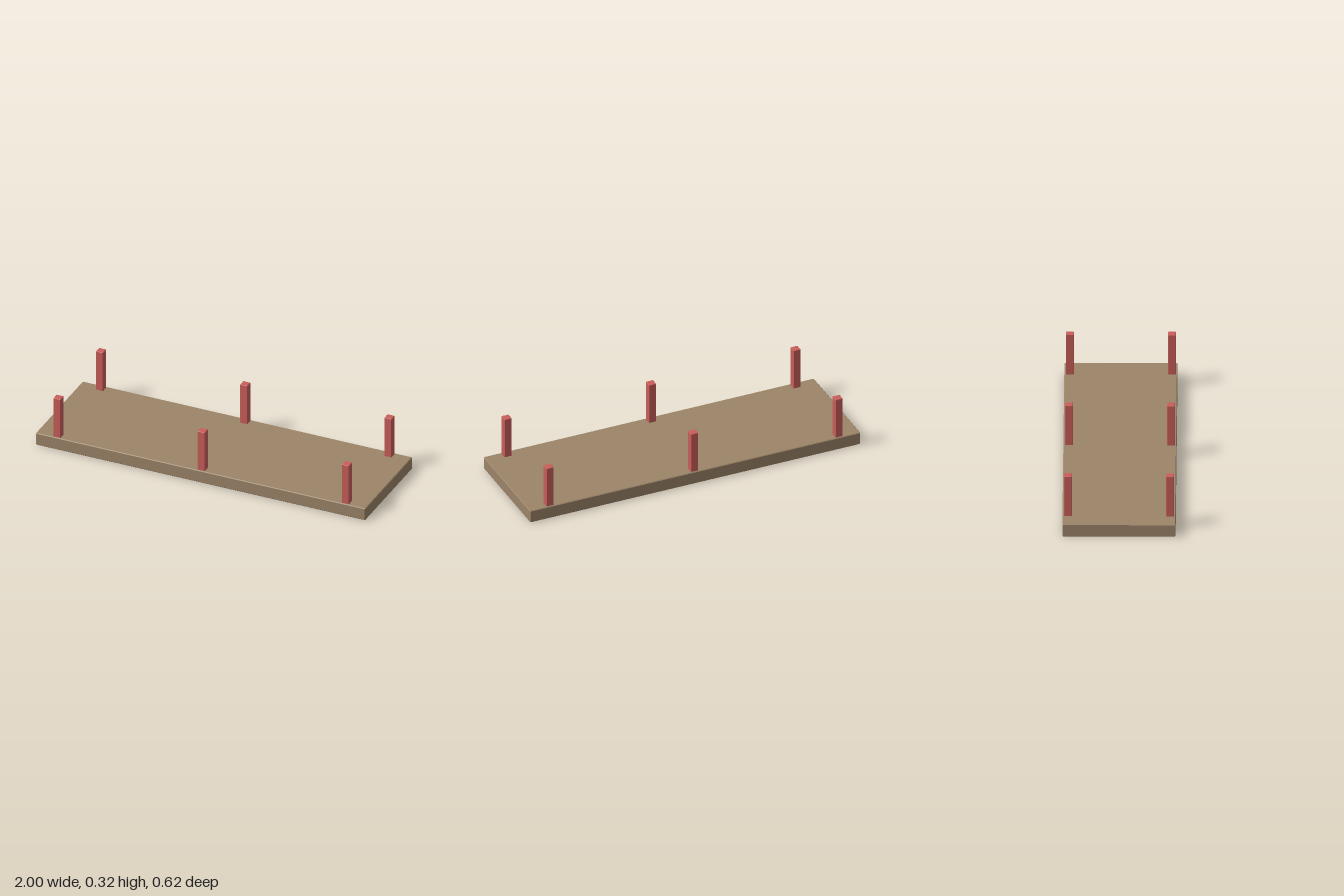
import * as THREE from 'three';
import { ConvexGeometry } from 'three/addons/geometries/ConvexGeometry.js';

// Box with flat chamfered edges, standing on y = 0
function chamferBox(w, h, d, c) {
  const points = [];
  for (const sx of [-1, 1]) for (const sy of [-1, 1]) for (const sz of [-1, 1]) {
    // each corner is cut into three points
    for (let axis = 0; axis < 3; axis++) {
      const inset = [c, c, c];
      inset[axis] = 0;
      points.push(new THREE.Vector3(
        sx * (w / 2 - inset[0]),
        h / 2 + sy * (h / 2 - inset[1]),
        sz * (d / 2 - inset[2])
      ));
    }
  }
  return new ConvexGeometry(points);
}

export function createModel() {
  const model = new THREE.Group();
  model.name = 'plankWithPosts';

  const wood = new THREE.MeshStandardMaterial({ color: 0x9c8468 });
  wood.name = 'brown wood';
  const red = new THREE.MeshStandardMaterial({ color: 0xc95f5a });
  red.name = 'red paint';

  // Base plank
  const plank = new THREE.Mesh(chamferBox(2, 0.075, 0.625, 0.004), wood);
  plank.name = 'plank';
  model.add(plank);

  // Three pairs of square posts along the long edges
  const postBase = 0.07, postTop = 0.319;
  const postGeometry = chamferBox(0.044, postTop - postBase, 0.044, 0.0025);
  for (const z of [0.282, -0.282]) {
    for (const x of [-0.875, 0, 0.875]) {
      const post = new THREE.Mesh(postGeometry, red);
      const side = x < 0 ? 'Right' : x > 0 ? 'Left' : 'Middle';
      post.name = (z > 0 ? 'front' : 'back') + side + 'Post';
      post.position.set(x, postBase, z);
      model.add(post);
    }
  }
  return model;
}
